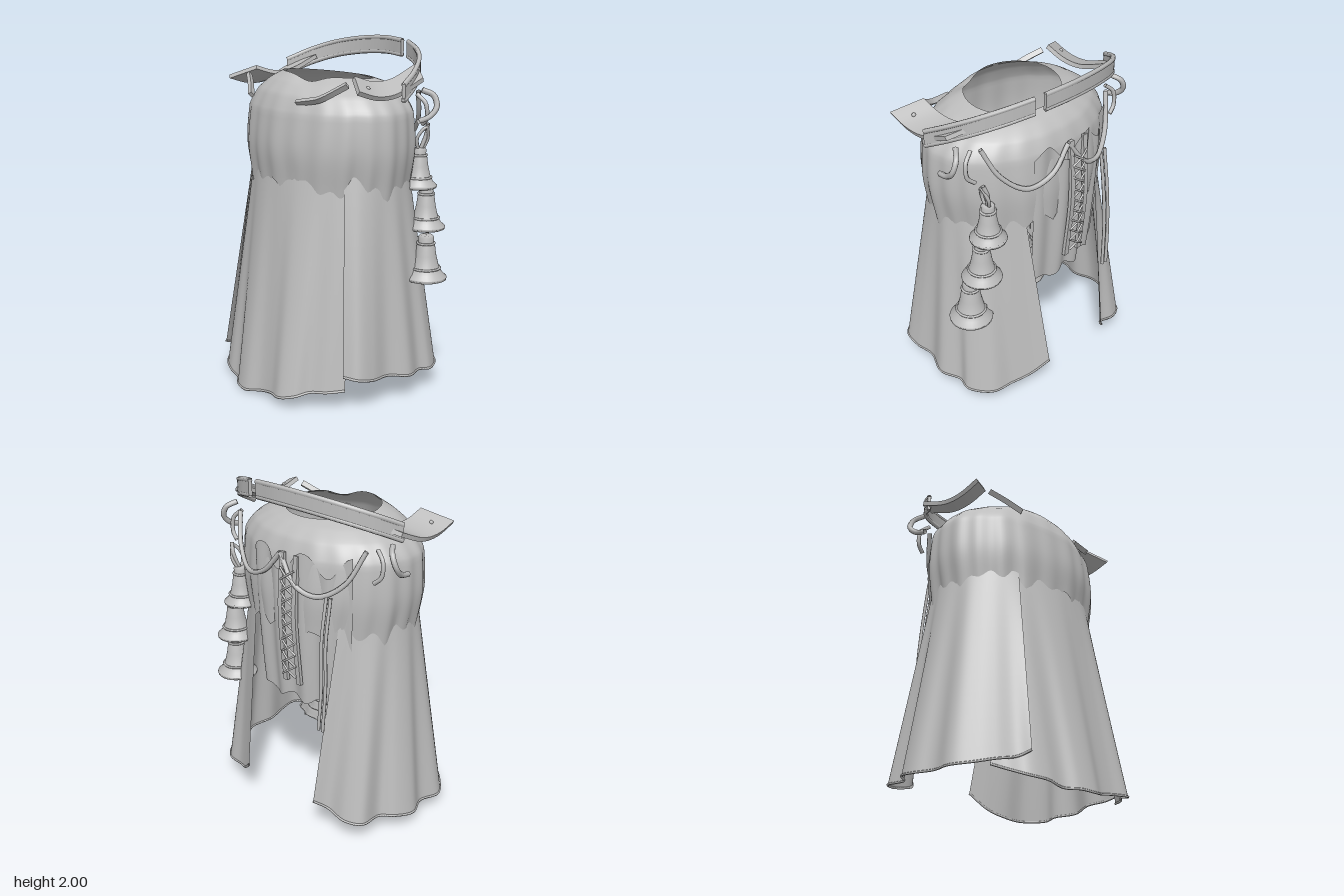
import * as THREE from 'three';
import { toCreasedNormals } from 'three/addons/utils/BufferGeometryUtils.js';

const V = (x, y, z) => new THREE.Vector3(x, y, z);
const curveOf = pts => new THREE.CatmullRomCurve3(pts.map(p => V(...p)));
const cloth = new THREE.MeshStandardMaterial({ color: 0xbdbdbd, side: THREE.DoubleSide });
cloth.name = 'greyCloth';

export function createModel() {
  const model = new THREE.Group();
  const add = (name, geo, parent = model) => {
    const m = new THREE.Mesh(geo, cloth);
    m.name = name;
    parent.add(m);
    return m;
  };

  // Surface from a rule f(u, v)
  const sheet = (f, nu, nv) => {
    const g = new THREE.PlaneGeometry(1, 1, nu, nv);
    const p = g.attributes.position;
    for (let j = 0, i = 0; j <= nv; j++)
      for (let k = 0; k <= nu; k++, i++) {
        const q = f(k / nu, j / nv);
        p.setXYZ(i, q.x, q.y, q.z);
      }
    g.computeVertexNormals();
    return g;
  };
  const cord = (name, pts, r = 0.012, n = 28) =>
    add(name, new THREE.TubeGeometry(curveOf(pts), n, r, 6));

  // Flat band of rectangular section swept along a path, closed at both ends
  const band = (pts, wide, width, thick, n = 28) => {
    const c = curveOf(pts);
    const corner = [[1, 1], [-1, 1], [-1, -1], [1, -1], [1, 1]];
    const g = sheet((u, v) => {
      const row = Math.round(v * (n + 2));
      const t = THREE.MathUtils.clamp((row - 1) / n, 0, 1);
      const p = c.getPoint(t);
      if (row === 0 || row === n + 2) return p;
      const out = c.getTangent(t).cross(wide).normalize();
      const [a, b] = corner[Math.round(u * 4)];
      return p.addScaledVector(wide, a * width / 2).addScaledVector(out, b * thick / 2);
    }, 4, n + 2);
    return toCreasedNormals(g, 0.6);
  };

  // Upper cape: rows of [rx, rz, z centre, y] from neck to ragged hem
  const rows = [[0.28, 0.245, -0.025, 1.8], [0.39, 0.3, -0.03, 1.765], [0.49, 0.36, -0.035, 1.705],
    [0.56, 0.4, -0.035, 1.61], [0.568, 0.422, -0.035, 1.42], [0.528, 0.41, -0.04, 1.2]];
  const radii = curveOf(rows.map(r => [r[0], r[1], r[2]]));
  const heights = curveOf(rows.map(r => [r[3], 0, 0]));
  add('upperCape', sheet((u, v) => {
    const a = (u - 0.5) * Math.PI * 2;
    const r = radii.getPoint(v);
    const fold = 1 + 0.012 * v * Math.sin(22 * a) + 0.01 * v * Math.sin(9 * a + 1);
    const jag = Math.abs(((u * 18) % 1) - 0.5) * 2;
    const hem = v ** 6 * (jag * (0.06 + 0.035 * Math.sin(7 * a)) - 0.015 - 0.05 * Math.sin(a) ** 2);
    const rim = (1 - v) ** 3 * (0.02 * Math.cos(a + 0.5) - 0.035 * Math.exp(-((a - 0.45) ** 2) / 0.1));
    return V(r.x * fold * Math.sin(a), heights.getPoint(v).x + hem + rim, r.z + r.y * fold * Math.cos(a));
  }, 180, 30));

  // Hanging cloth between an arc under the cape and a wavy hem
  const drape = (name, a0, a1, top, size, hemPts) => {
    const hem = curveOf(hemPts);
    add(name, sheet((u, v) => {
      const a = a0 + (a1 - a0) * u;
      const p = V(size * 0.53 * Math.sin(a), top, -0.035 + size * 0.405 * Math.cos(a));
      return p.lerp(hem.getPoint(u), v);
    }, 90, 16));
    add(name + 'Hem', new THREE.TubeGeometry(hem, 90, 0.007, 5));
  };
  drape('frontPanel', -1.2, 1.1, 1.35, 0.96, [[-0.52, 0.1, 0.3], [-0.46, 0.08, 0.35], [-0.4, 0.045, 0.44],
    [-0.3, 0.03, 0.49], [-0.2, 0.01, 0.5], [-0.12, 0.01, 0.55], [-0.02, 0.01, 0.565], [0.08, 0.03, 0.53],
    [0.18, 0.05, 0.525], [0.28, 0.06, 0.54], [0.36, 0.08, 0.49], [0.4, 0.1, 0.42], [0.48, 0.11, 0.36], [0.54, 0.12, 0.28]]);
  drape('rightSideDrape', -0.62, -2.45, 1.35, 0.98, [[-0.39, 0.17, 0.46], [-0.43, 0.14, 0.4], [-0.52, 0.12, 0.34],
    [-0.6, 0.1, 0.27], [-0.67, 0.09, 0.16], [-0.64, 0.1, 0.02], [-0.68, 0.1, -0.1], [-0.64, 0.12, -0.22],
    [-0.57, 0.12, -0.28], [-0.56, 0.13, -0.42], [-0.47, 0.14, -0.47], [-0.35, 0.17, -0.47], [-0.29, 0.22, -0.53]]);
  drape('leftSideDrape', 0.95, 2.62, 1.35, 0.98, [[0.55, 0.21, 0.3], [0.62, 0.2, 0.25], [0.63, 0.18, 0.15],
    [0.61, 0.17, 0.03], [0.65, 0.15, -0.1], [0.6, 0.14, -0.22], [0.61, 0.13, -0.3], [0.52, 0.13, -0.42],
    [0.4, 0.14, -0.45], [0.3, 0.18, -0.5], [0.2, 0.27, -0.56]]);

  // Laced bodice in the back opening
  add('backBodice', sheet((u, v) => {
    const a = Math.PI - 0.4 + 1.2 * u;
    const r = 1 + 0.025 * Math.sin(u * 26) - 0.08 * v * v;
    const y = 1.6 + 0.06 * Math.sin(u * 14) * (1 - v) - 0.83 * v + 0.02 * v * Math.sin(u * 20);
    return V(0.555 * r * Math.sin(a), y, -0.03 + 0.425 * r * Math.cos(a));
  }, 60, 14));
  for (const x of [-0.12, -0.02])
    add('lacingStrip', band([[x, 1.64, -0.45], [x, 1.3, -0.475], [x, 0.88, -0.445]], V(1, 0, 0), 0.03, 0.02, 12));
  for (let i = 0; i < 9; i++) {
    const y = 1.56 - i * 0.07;
    for (const s of [-1, 1])
      cord('lace', [[-0.07 - s * 0.05, y, -0.475], [-0.07, y - 0.035, -0.485], [-0.07 + s * 0.05, y - 0.07, -0.475]], 0.006, 4);
  }
  for (const x of [-0.3, -0.33])
    cord('hangingCord', [[x, 1.45, -0.42], [x, 1.2, -0.46], [x - 0.01, 0.95, -0.475], [x, 0.68, -0.49]], 0.01);

  // Cords draped over the back
  cord('backSwag', [[0.47, 1.72, -0.29], [0.4, 1.56, -0.36], [0.27, 1.46, -0.43], [0.12, 1.5, -0.46], [0, 1.63, -0.45]], 0.014);
  cord('backSwag', [[0, 1.63, -0.45], [-0.12, 1.48, -0.47], [-0.25, 1.44, -0.44], [-0.38, 1.52, -0.37], [-0.46, 1.7, -0.29]], 0.014);

  // Raised collar in two tilted arcs with trimmed edges
  const collar = [
    [[-0.59, -0.16], [-0.5, -0.29], [-0.38, -0.38], [-0.2, -0.44], [0, -0.46], [0.17, -0.44]],
    [[0.23, -0.43], [0.36, -0.37], [0.48, -0.28], [0.57, -0.16], [0.62, -0.04]]];
  for (const arc of collar) {
    const at = dy => arc.map(([x, z]) => [x, 1.718 - 0.5 * z + dy, z]);
    add('collarBand', band(at(0), V(0, 1, 0), 0.09, 0.02));
    for (const dy of [-0.041, 0.041]) cord('collarTrim', at(dy), 0.014);
  }

  for (const s of [-1, 1]) {
    // Shoulder plates, rivets and side hooks
    add('shoulderPlate', band([[s * 0.53, 1.785, 0.21], [s * 0.53, 1.75, 0.08], [s * 0.53, 1.755, -0.05], [s * 0.53, 1.83, -0.24]],
      V(s, -0.4, 0.6), 0.155, 0.024, 16));
    const rivet = add('rivet', new THREE.SphereGeometry(0.012, 10, 6));
    rivet.position.set(s * 0.545, 1.768, 0.14);
    cord('sideHook', [[s * 0.57, 1.74, -0.22], [s * 0.61, 1.71, -0.27], [s * 0.635, 1.65, -0.27],
      [s * 0.63, 1.6, -0.22], [s * 0.62, 1.58, -0.15]], 0.016);
    cord('sideLoop', [[s * 0.5, 1.71, -0.25], [s * 0.55, 1.66, -0.27], [s * 0.55, 1.58, -0.28], [s * 0.51, 1.54, -0.29]], 0.012);
  }
  // Front clasps lying on the chest
  add('frontClasp', band([[-0.46, 1.775, 0.21], [-0.37, 1.73, 0.26], [-0.29, 1.675, 0.31]], V(0, 0.7, 0.7), 0.032, 0.022, 6));
  add('frontClasp', band([[0.45, 1.78, 0.2], [0.32, 1.7, 0.28], [0.25, 1.685, 0.3], [0.17, 1.672, 0.32]], V(0, 0.7, 0.7), 0.032, 0.022, 8));

  // String of three bells
  const bell = (x, top, z, r, h) => {
    const g = new THREE.Group();
    g.name = 'bell';
    g.position.set(x, top - h, z);
    model.add(g);
    const outline = [[0.02, 1], [0.3, 1], [0.38, 0.95], [0.36, 0.84], [0.42, 0.8], [0.5, 0.55], [0.62, 0.32], [0.8, 0.16], [1, 0.08], [1, 0.02], [0.9, 0]];
    add('bellBody', new THREE.LatheGeometry(outline.map(([a, b]) => new THREE.Vector2(a * r, b * h)), 28), g);
    for (const [a, b] of [[0.96, 0.06], [0.68, 0.27], [0.4, 0.82]]) {
      const ring = add('bellRing', new THREE.TorusGeometry(a * r, 0.007, 6, 28), g);
      ring.rotation.x = Math.PI / 2;
      ring.position.y = b * h;
    }
    add('clapper', new THREE.SphereGeometry(0.02, 12, 8), g).position.y = 0.02;
    add('clapperRod', new THREE.CylinderGeometry(0.006, 0.006, h * 0.9, 6), g).position.y = h * 0.5;
  };
  bell(0.455, 1.4, -0.325, 0.1, 0.23);
  bell(0.51, 1.19, -0.33, 0.11, 0.25);
  bell(0.56, 0.92, -0.29, 0.12, 0.26);
  cord('bellCord', [[0.5, 1.54, -0.34], [0.48, 1.48, -0.35], [0.455, 1.38, -0.325]], 0.012);
  cord('bellLoop', [[0.46, 1.38, -0.31], [0.47, 1.46, -0.29], [0.5, 1.52, -0.33], [0.48, 1.45, -0.36], [0.46, 1.39, -0.34]], 0.01);

  // Ruffled centre piece hanging inside the cloak
  add('innerRuffle', sheet((u, v) => {
    const a = u * Math.PI * 2;
    const step = 0.015 * Math.sin(v * 44);
    const w = 1 + 0.025 * v * Math.sin(13 * a + 9 * v);
    return V(-0.02 + (0.04 + 0.21 * v) * w * Math.sin(a), 0.85 - 0.34 * v + step, -0.02 + (0.04 + 0.15 * v) * w * Math.cos(a));
  }, 72, 48));
  add('innerKnob', new THREE.SphereGeometry(0.04, 16, 12)).position.set(-0.02, 0.88, -0.02);

  // Scalloped inner band with fringe around the front
  const bandPoint = (a, y) => V(0.39 * Math.sin(a), y + 0.015 * Math.cos(14 * a), 0.33 * Math.cos(a));
  add('innerBand', sheet((u, v) => bandPoint((u - 0.5) * 4, 0.72 - 0.1 * v), 72, 3));
  for (let i = 0; i < 18; i++) {
    const p = bandPoint(-2 + i * 4 / 17, 0.6);
    add('fringe', new THREE.CylinderGeometry(0.005, 0.005, 0.06, 5)).position.copy(p);
  }
  return model;
}
